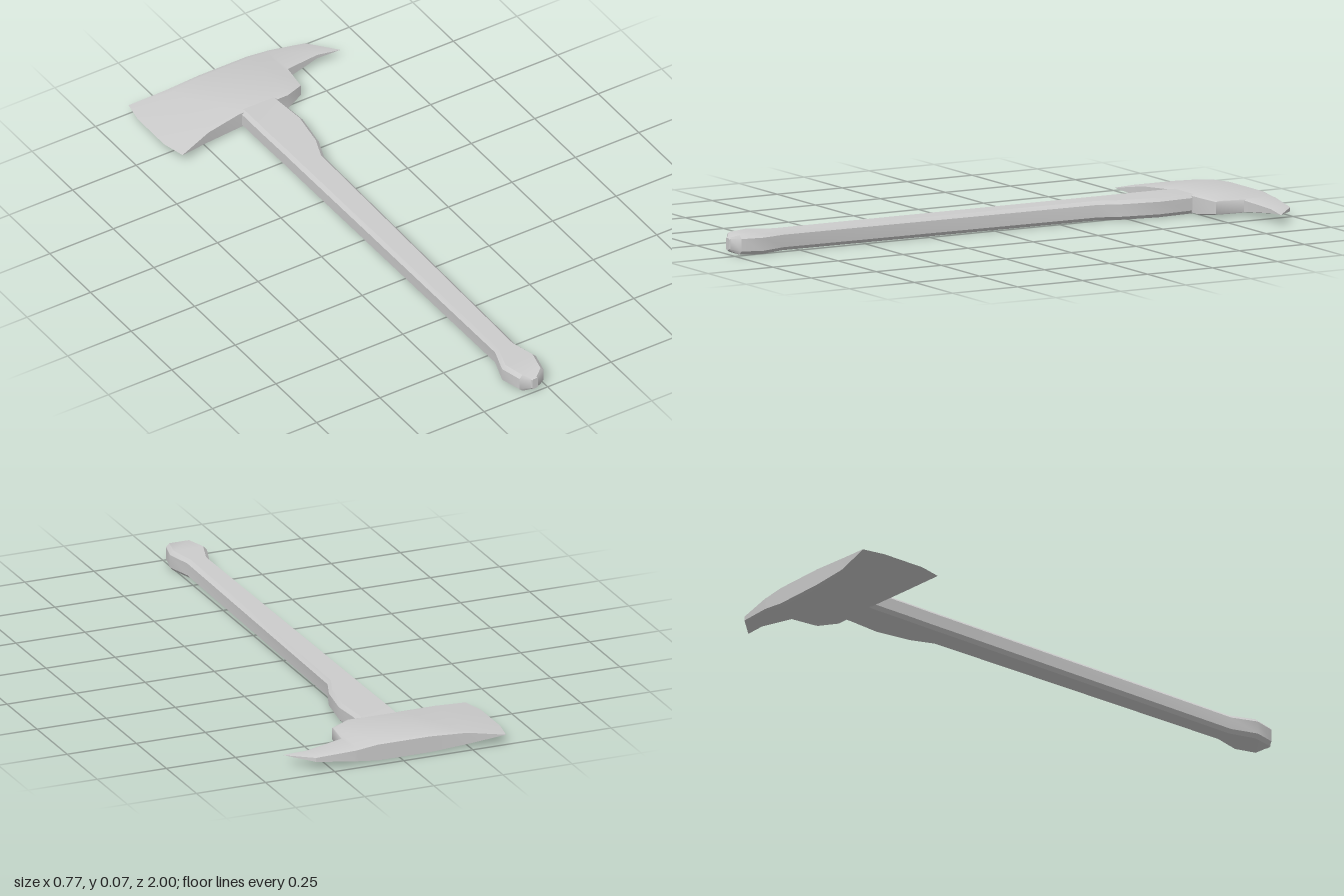
import * as THREE from 'three';
import { toCreasedNormals } from 'three/addons/utils/BufferGeometryUtils.js';

const MID_Y = 0.035; // the axe lies flat, symmetric about this height

// Skin a list of closed rings of [x, y, z] points
function loft(rings, crease) {
  const n = rings[0].length;
  const index = [];
  for (let i = 0; i < rings.length - 1; i++) {
    for (let j = 0; j < n; j++) {
      const k = (j + 1) % n;
      const a = i * n + j, b = i * n + k, c = a + n, d = b + n;
      index.push(a, b, d, a, d, c);
    }
  }
  const geo = new THREE.BufferGeometry();
  geo.setAttribute('position', new THREE.Float32BufferAttribute(rings.flat(2), 3));
  geo.setIndex(index);
  return toCreasedNormals(geo, crease);
}

// Head slice: corner x, middle x, back z, front z, half height, bevel run and drop
function headRing([xBack, xMid, xFront, zBack, zFront, h, run, drop]) {
  const top = [
    [xBack, h - drop, zBack],
    [xMid, h, zBack + run],
    [xMid, h, zFront - run],
    [xFront, h - drop, zFront],
  ];
  const bottom = top.map(([x, y, z]) => [x, -y, z]).reverse();
  return [...top, ...bottom].map(([x, y, z]) => [x, MID_Y + y, z]);
}

// Handle slice: chamfered rectangle at z
function handleRing([z, x0, x1, h, c]) {
  return [
    [x1, h - c], [x1 - c, h], [x0 + c, h], [x0, h - c],
    [x0, c - h], [x0 + c, -h], [x1 - c, -h], [x1, c - h],
  ].map(([x, y]) => [x, MID_Y + y, z]);
}

export function createModel() {
  const steel = new THREE.MeshStandardMaterial({ color: 0xcccccc });
  steel.name = 'lightGrey';
  const group = new THREE.Group();
  group.name = 'axe';
  const add = (name, geometry) => {
    const mesh = new THREE.Mesh(geometry, steel);
    mesh.name = name;
    group.add(mesh);
  };

  // Head: flared cutting edge, thick eye, stepped down to a drooping pick
  const at = (x, ...rest) => [x, x, x, ...rest];
  add('axeHead', loft([
    [-0.37, -0.385, -0.365, -1, -0.675, 0, 0.082, 0],
    at(-0.24, -0.98, -0.71, 0.022, 0.02, 0.002),
    at(-0.105, -0.98, -0.73, 0.033, 0.015, 0.005),
    at(0.085, -0.98, -0.73, 0.033, 0.015, 0.005),
    at(0.155, -0.98, -0.76, 0.023, 0.012, 0.003),
    at(0.168, -0.98, -0.86, 0.022, 0.012, 0.003),
    at(0.3, -0.96, -0.885, 0.009, 0.01, 0.002),
    at(0.383, -0.876, -0.874, 0, 0.0005, 0),
  ].map(headRing), 0.6));

  // Handle: swollen shoulder under the head, straight grip, flared knob
  add('handle', loft([
    [-0.76, -0.02, -0.02, 0, 0],
    [-0.76, -0.095, 0.05, 0.031, 0.01],
    [-0.72, -0.095, 0.05, 0.033, 0.012],
    [-0.6, -0.095, 0.06, 0.033, 0.012],
    [-0.47, -0.093, 0.04, 0.033, 0.012],
    [-0.39, -0.093, 0.01, 0.033, 0.012],
    [0.81, -0.085, -0.005, 0.033, 0.012],
    [0.9, -0.115, 0.018, 0.035, 0.013],
    [0.975, -0.095, 0, 0.033, 0.012],
    [0.995, -0.062, -0.036, 0.022, 0.004],
    [1, -0.06, -0.038, 0.02, 0.004],
    [1, -0.049, -0.049, 0, 0],
  ].map(handleRing), 0.6));

  return group;
}
